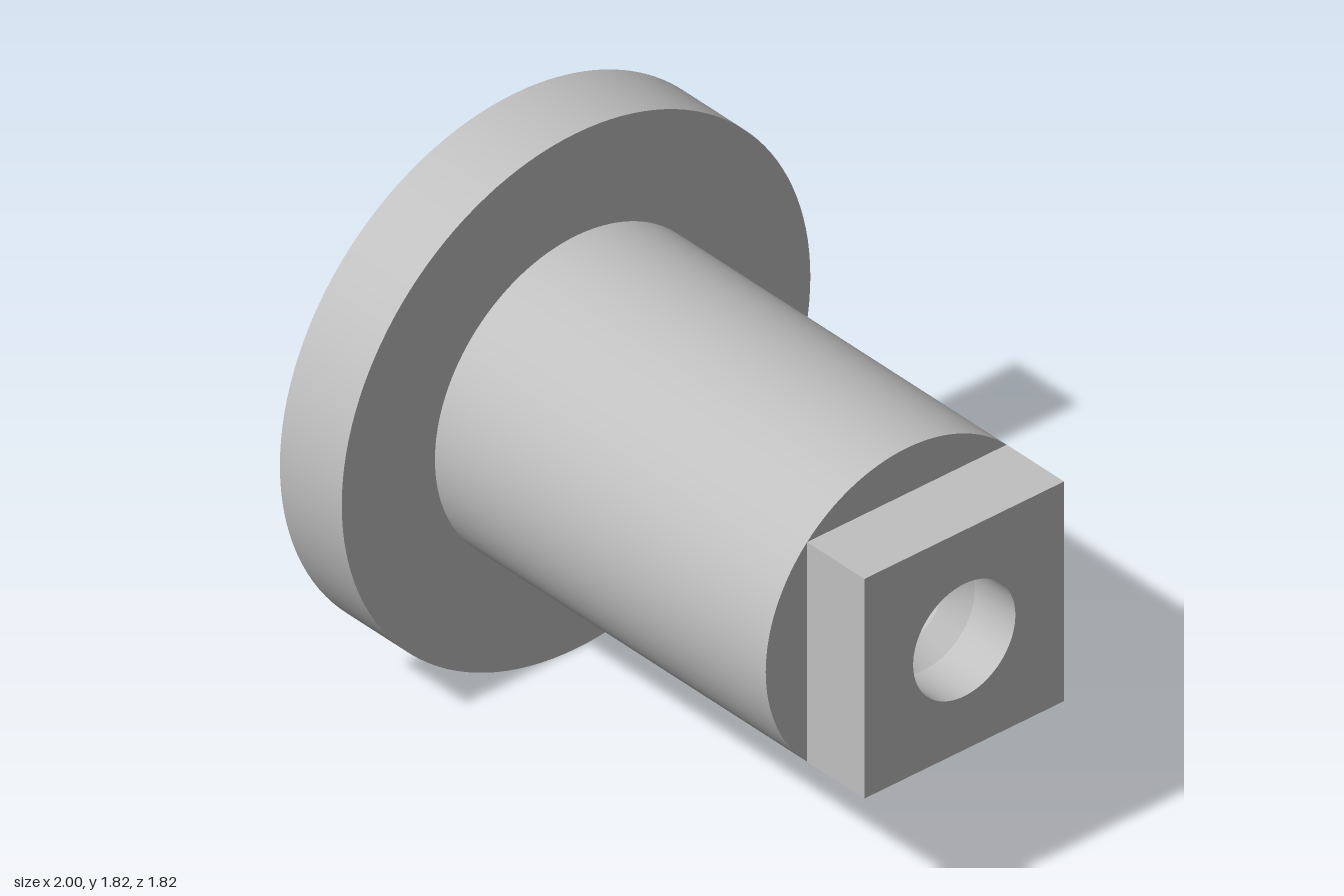
import * as THREE from 'three';
import { mergeGeometries } from 'three/addons/utils/BufferGeometryUtils.js';

const AXIS_Y = 0.91;
const SEGMENTS = 128;

// Revolves each profile segment [radius, x] separately so that edges stay sharp
function revolve(profile) {
  const rings = [];
  for (let i = 0; i < profile.length - 1; i++) {
    const pair = [profile[i], profile[i + 1]].map(([r, x]) => new THREE.Vector2(r, x));
    rings.push(new THREE.LatheGeometry(pair, SEGMENTS));
  }
  return mergeGeometries(rings).rotateZ(-Math.PI / 2);
}

export function createModel() {
  const group = new THREE.Group();
  const steel = new THREE.MeshStandardMaterial({ color: 0xc0c0c0 });
  steel.name = 'plain grey';

  const add = (name, geometry) => {
    const mesh = new THREE.Mesh(geometry, steel);
    mesh.name = name;
    mesh.position.y = AXIS_Y;
    group.add(mesh);
  };

  // Wide disc with the mouth of the large bore
  add('flange', revolve([[0.367, -1], [0.908, -1], [0.908, -0.725], [0.547, -0.725]]));

  // Round shaft and its shoulder
  add('shaft', revolve([[0.547, -0.725], [0.547, 0.745], [0.198, 0.745]]));

  // Stepped bore: taper, narrow passage, flat floor, wide counterbore
  add('bore', revolve([[0.198, 0.82], [0.145, 0.74], [0.145, -0.68], [0.367, -0.68], [0.367, -1]]));

  // Square drive end with a round hole
  const h = 0.387;
  const square = new THREE.Shape([[-h, -h], [h, -h], [h, h], [-h, h]].map(([a, b]) => new THREE.Vector2(a, b)));
  square.holes.push(new THREE.Path().absarc(0, 0, 0.198, 0, Math.PI * 2, true));
  const block = new THREE.ExtrudeGeometry(square, { depth: 0.255, bevelEnabled: false, curveSegments: 64 });
  block.rotateY(Math.PI / 2).translate(0.745, 0, 0);
  add('squareEnd', block);

  return group;
}
